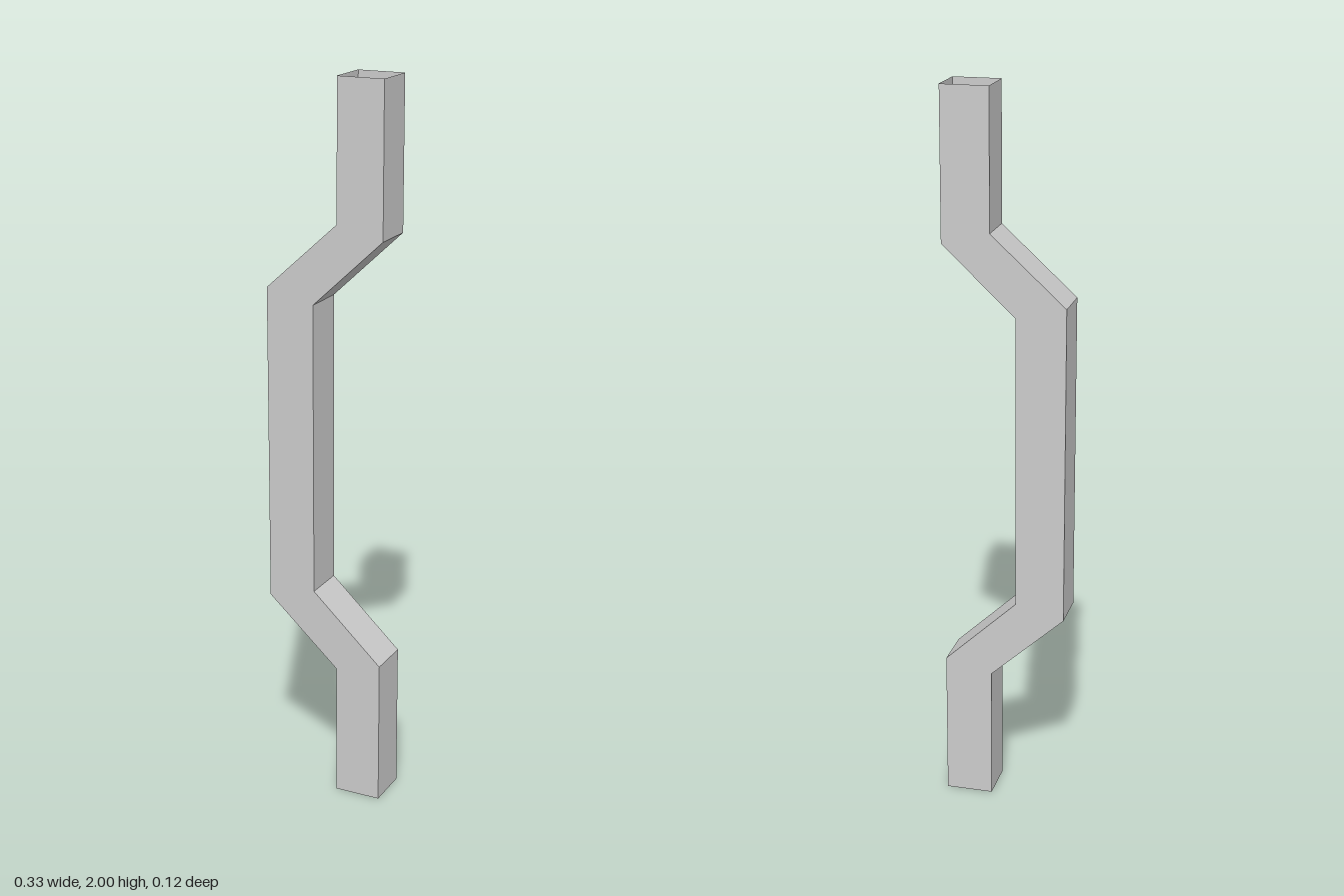
import * as THREE from 'three';

// Hollow square tube, open at both ends, lofted through mitred cross-sections
function loftSquareTube(sections, halfDepth) {
  const rings = sections.map(([xl, yl, xr, yr]) => [
    [xl, yl, halfDepth], [xr, yr, halfDepth],
    [xr, yr, -halfDepth], [xl, yl, -halfDepth],
  ]);
  const pos = [];
  for (let i = 0; i < rings.length - 1; i++) {
    for (let j = 0; j < 4; j++) {
      const k = (j + 1) % 4;
      const a = rings[i][j], b = rings[i][k];
      const c = rings[i + 1][k], d = rings[i + 1][j];
      pos.push(...a, ...b, ...c, ...a, ...c, ...d);
    }
  }
  const geo = new THREE.BufferGeometry();
  geo.setAttribute('position', new THREE.Float32BufferAttribute(pos, 3));
  geo.computeVertexNormals();
  return geo;
}

export function createModel() {
  const group = new THREE.Group();
  group.name = 'offsetHandle';

  // Lower half: left x, left y, right x, right y at each mitre
  const lower = [
    [0.037, 0, 0.167, 0],
    [0.037, 0.375, 0.167, 0.408],
    [-0.167, 0.561, -0.032, 0.595],
  ];
  // Upper half mirrors the lower about y = 1
  const upper = lower.map(([xl, yl, xr, yr]) => [xl, 2 - yl, xr, 2 - yr]).reverse();

  const material = new THREE.MeshStandardMaterial({
    color: 0xcccccc, flatShading: true, side: THREE.DoubleSide,
  });
  const tube = new THREE.Mesh(loftSquareTube([...lower, ...upper], 0.062), material);
  tube.name = 'bentSquareTube';
  group.add(tube);
  return group;
}
